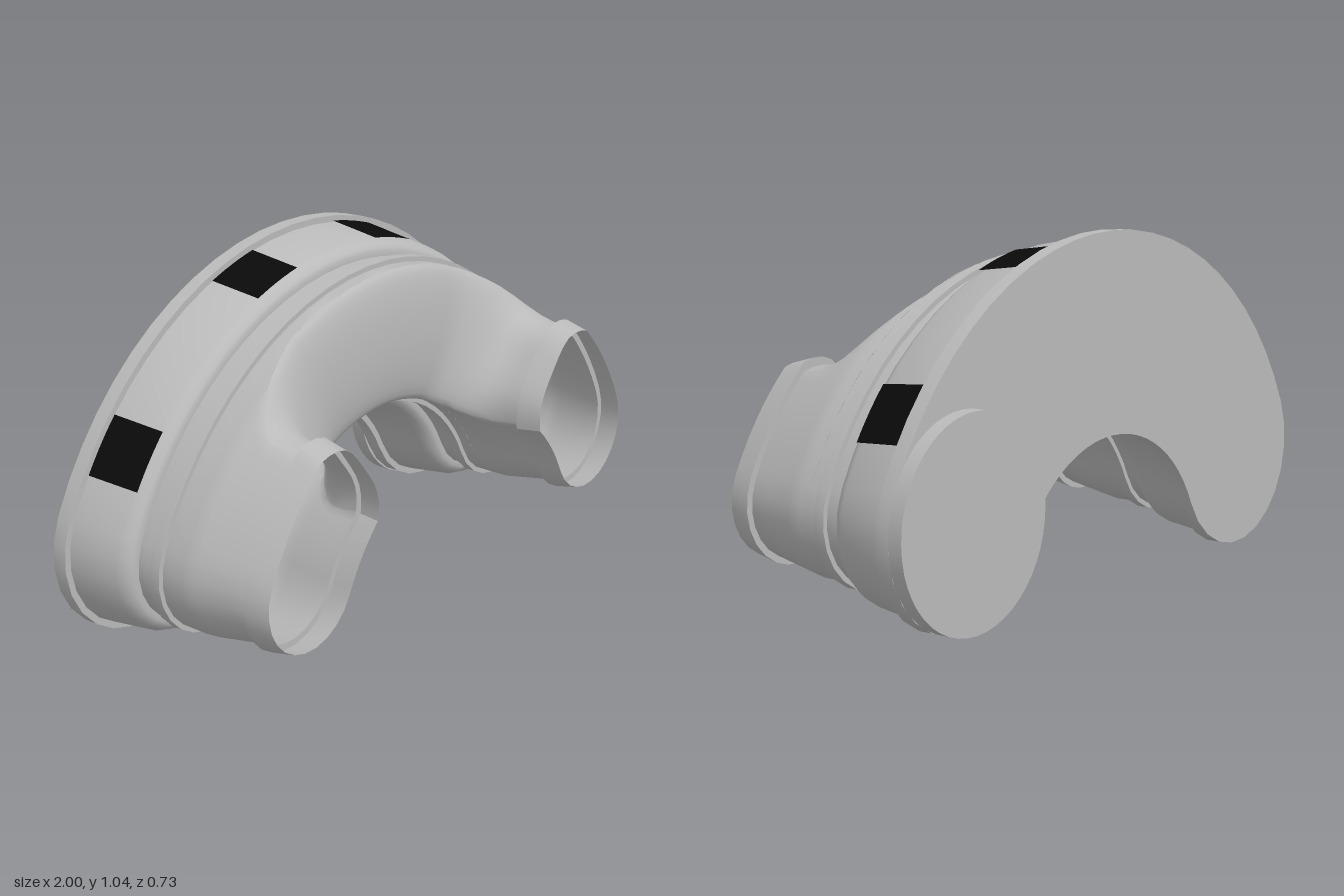
import * as THREE from 'three';
import { mergeGeometries, toCreasedNormals } from 'three/addons/utils/BufferGeometryUtils.js';

// Centre line of the arch: an arc of radius R about (0, CY), ending at angle A0
const R = 0.773, CY = -0.028, A0 = Math.atan2(0.328, 0.7), DEG = Math.PI / 180;
const ARC = 24, CAP = 12, END = 14;
const LEG_TOP = 52 * DEG, FLARE = 14 * DEG, BASE_Z = 0.05, BULGE = 0.04, LEG_Z = 0.29;

const at = (a, off, z) => new THREE.Vector3((R + off) * Math.cos(a), CY + (R + off) * Math.sin(a), z);

// Points along an arc at a fixed offset, without the last point
function arcPoints(a, b, off, z, n) {
  return Array.from({ length: n }, (_, i) => at(a + (b - a) * i / n, off, z));
}

// Half circle around one end of the centre line
function capPoints(a, from, h, z) {
  const c = at(a, 0, z);
  return Array.from({ length: CAP }, (_, i) => {
    const t = from + Math.PI * i / CAP;
    return new THREE.Vector3(c.x + h * Math.cos(t), c.y + h * Math.sin(t), z);
  });
}

// Full arch outline with half-width h
function archRing(z, h) {
  const b = Math.PI - A0;
  return [
    ...arcPoints(A0, b, h, z, ARC), ...capPoints(b, b, h, z),
    ...arcPoints(b, A0, -h, z, ARC), ...capPoints(A0, A0 + Math.PI, h, z),
  ];
}

// Outline of one leg; its upper end stops at angle top, with corners cut back by round
function legRing(z, h, top, round, bulge) {
  const corner = top - round;
  const end = Array.from({ length: END }, (_, k) => {
    const t = Math.PI * k / END, u = Math.cos(t);
    return at(top - round * u ** 4, h * u, z + bulge * Math.sin(t));
  });
  return [
    ...arcPoints(A0, corner, h, z, 10), ...end,
    ...arcPoints(corner, A0, -h, z, 10), ...capPoints(A0, A0 + Math.PI, h, z),
  ];
}

const mirrorRing = (ring) => ring.map((p) => new THREE.Vector3(-p.x, p.y, p.z)).reverse();

// Skin through rows of points
function loft(rows, closed = true) {
  const n = rows[0].length, pos = [], index = [];
  rows.forEach((row) => row.forEach((p) => pos.push(p.x, p.y, p.z)));
  for (let i = 0; i < rows.length - 1; i++) {
    for (let j = 0; j < (closed ? n : n - 1); j++) {
      const k = (j + 1) % n;
      const a = i * n + j, b = i * n + k, c = b + n, d = a + n;
      index.push(a, b, c, a, c, d);
    }
  }
  const g = new THREE.BufferGeometry();
  g.setAttribute('position', new THREE.Float32BufferAttribute(pos, 3));
  g.setIndex(index);
  return g;
}

export function createModel() {
  const group = new THREE.Group();
  const grey = new THREE.MeshStandardMaterial({ color: 0xbababa, side: THREE.DoubleSide });
  grey.name = 'grey shell';
  const black = new THREE.MeshStandardMaterial({ color: 0x0a0a0a, side: THREE.DoubleSide });
  black.name = 'black window';

  const add = (name, geometry, material = grey) => {
    const mesh = new THREE.Mesh(geometry, material);
    mesh.name = name;
    group.add(mesh);
    return mesh;
  };
  const smooth = (g) => toCreasedNormals(g, 0.6);

  // Back flange, sloping band, neck and raised rim
  const profiles = {
    backFlange: [[-0.32, 0.3], [-0.275, 0.3], [-0.275, 0.28]],
    slopingBand: [[-0.275, 0.28], [-0.12, 0.259], [-0.1, 0.25], [-0.085, 0.237], [-0.08, 0.226], [-0.08, 0.21]],
    neck: [[-0.08, 0.21], [-0.025, 0.21]],
    raisedRim: [[-0.025, 0.21], [-0.025, 0.225], [0.01, 0.225], [0.01, 0.21]],
  };
  for (const [name, profile] of Object.entries(profiles)) {
    add(name, smooth(loft(profile.map(([z, h]) => archRing(z, h)))));
  }

  // Flat back plate
  const plate = new THREE.ShapeGeometry(
    new THREE.Shape(archRing(0, 0.3).map((p) => new THREE.Vector2(p.x, p.y))));
  plate.rotateY(Math.PI);
  add('backPlate', plate).position.z = -0.32;

  // Round boss on the back
  const boss = new THREE.CylinderGeometry(0.305, 0.305, 0.045, 48);
  boss.rotateX(Math.PI / 2);
  add('backBoss', boss).position.set(0.695, 0.305, -0.3425);

  // Front of the arch: short wall, bulging bridge and two flared hollow legs
  const legRings = [0, 0.04, 0.08, 0.13, 0.2, 0.3, 0.42, 0.58, 0.78, 1].map((s) => {
    const z = BASE_Z + (LEG_Z - BASE_Z) * s;
    const h = 0.21 - 0.035 * Math.max(0, (z - 0.1) / (LEG_Z - 0.1));
    const top = LEG_TOP + FLARE * (1 - s) ** 4;
    return legRing(z, h, top, 6 * DEG * Math.min(1, s * 2), BULGE * (1 - s));
  });
  const bridgeStart = LEG_TOP + FLARE, bridgeRows = [];
  for (let i = 0; i <= 12; i++) {
    const a = bridgeStart + (Math.PI - 2 * bridgeStart) * i / 12;
    bridgeRows.push(Array.from({ length: END + 1 }, (_, k) => {
      const t = Math.PI * (END - k) / END;
      return at(a, 0.21 * Math.cos(t), BASE_Z + BULGE * Math.sin(t));
    }));
  }
  add('frontBody', smooth(mergeGeometries([
    loft([archRing(0.01, 0.21), archRing(BASE_Z, 0.21)]),
    loft(bridgeRows, false),
    loft(legRings),
    loft(legRings.map(mirrorRing)),
  ])));

  // Lips around the leg openings
  const lipRings = [
    legRings[legRings.length - 1],
    legRing(LEG_Z, 0.195, LEG_TOP + 1.2 * DEG, 6 * DEG, 0),
    legRing(0.365, 0.18, LEG_TOP + 0.3 * DEG, 6 * DEG, 0),
  ];
  add('leftLegLip', smooth(loft(lipRings)));
  add('rightLegLip', smooth(loft(lipRings.map(mirrorRing))));

  // Dark windows on the sloping band
  for (const deg of [37.2, 74.7, 105.3, 142.8]) {
    const rows = [[-0.272, 0.284], [-0.105, 0.262]].map(([z, h]) =>
      Array.from({ length: 7 }, (_, i) => at((deg - 5 + 10 * i / 6) * DEG, h, z)));
    const g = loft(rows, false);
    g.computeVertexNormals();
    add('bandWindow', g, black);
  }
  return group;
}
